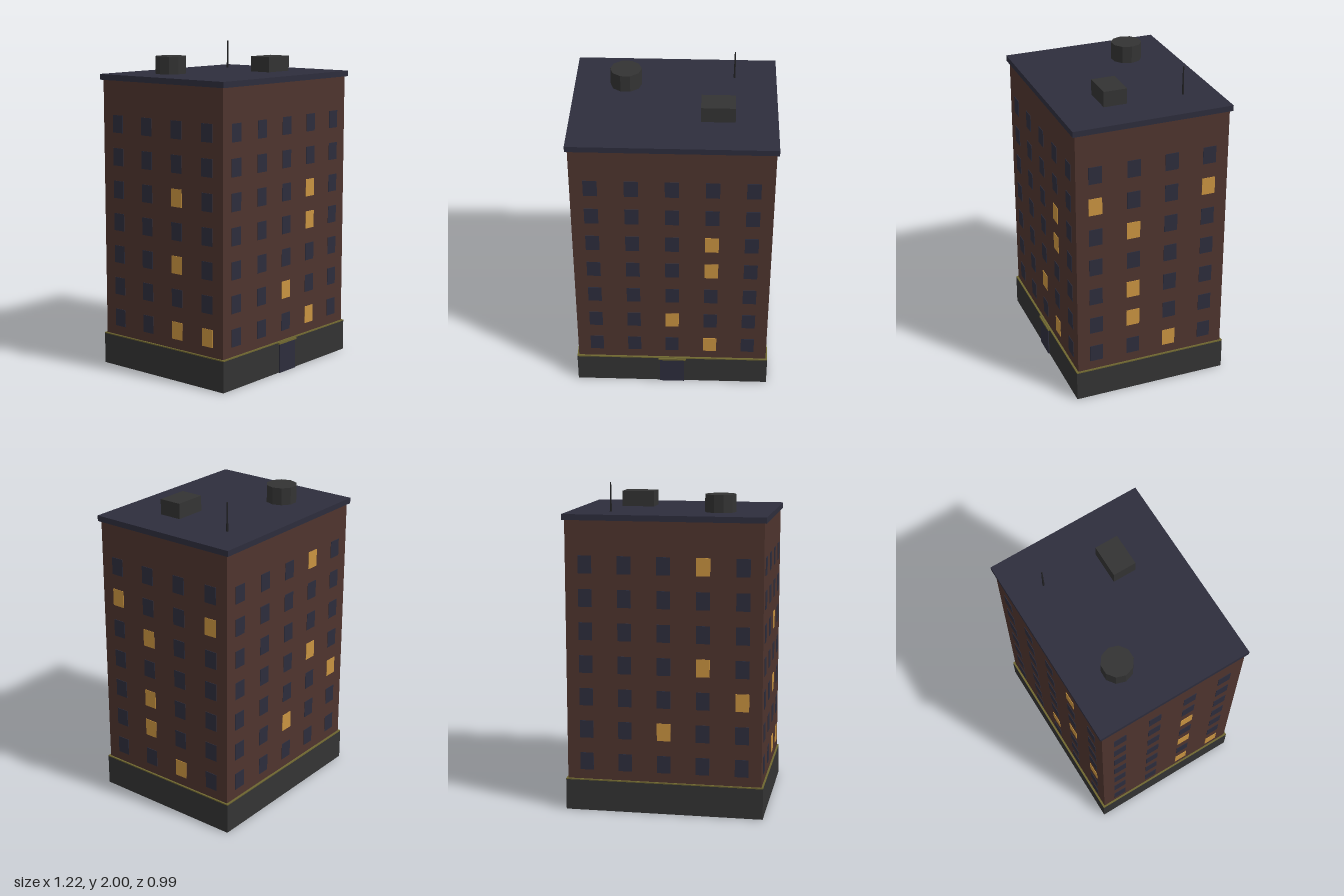
import * as THREE from 'three';

const mat = (name, color) => {
  const m = new THREE.MeshStandardMaterial({ color });
  m.name = name;
  return m;
};

export function createModel() {
  const brick = mat('brick', 0x4e342e);
  const stone = mat('dark stone', 0x333333);
  const slate = mat('slate', 0x2d2d3c);
  const lamp = mat('lit window', 0xc89340);
  const trimGold = mat('old gold', 0x6e6630);
  const iron = mat('iron', 0x222224);

  const model = new THREE.Group();
  model.name = 'apartmentBlock';
  const building = new THREE.Group();
  building.name = 'building';
  building.position.z = -0.003;
  model.add(building);

  const add = (name, geo, material, x, y, z, parent = building) => {
    const mesh = new THREE.Mesh(geo, material);
    mesh.name = name;
    mesh.position.set(x, y, z);
    parent.add(mesh);
    return mesh;
  };
  // Box standing on height y
  const box = (name, material, w, h, d, x, y, z, parent) =>
    add(name, new THREE.BoxGeometry(w, h, d), material, x, y + h / 2, z, parent);

  const W = 1.195, D = 0.955;

  // Main masses
  box('brickBody', brick, W, 1.79, D, 0, 0, 0);
  box('stoneBase', stone, 1.217, 0.19, 0.98, 0, 0.001, 0);
  box('baseTrim', trimGold, 1.217, 0.007, 0.98, 0, 0.191, 0);
  box('roofSlab', slate, 1.222, 0.035, 0.988, 0, 1.79, 0);

  // Entrance
  box('door', slate, 0.155, 0.18, 0.02, 0, 0, 0.487);
  box('doorCanopy', trimGold, 0.175, 0.012, 0.022, 0, 0.182, 0.488);

  // Windows: lit ones are [column, floor], columns counted left to right from outside
  const pane = new THREE.BoxGeometry(0.083, 0.108, 0.006);
  const facades = [
    { name: 'front', turn: 0, columns: 5, out: D / 2, lit: ['3,0', '2,1', '3,3', '3,4'] },
    { name: 'plusX', turn: Math.PI / 2, columns: 4, out: W / 2, lit: ['2,0', '1,1', '1,2', '1,4', '0,5', '3,5'] },
    { name: 'back', turn: Math.PI, columns: 5, out: D / 2, lit: ['2,1', '4,2', '3,3', '3,6'] },
    { name: 'minusX', turn: -Math.PI / 2, columns: 4, out: W / 2, lit: ['2,0', '3,0', '2,2', '2,4'] },
  ];
  for (const f of facades) {
    const side = new THREE.Group();
    side.name = f.name + 'Windows';
    side.rotation.y = f.turn;
    building.add(side);
    for (let c = 0; c < f.columns; c++) {
      for (let floor = 0; floor < 7; floor++) {
        const isLit = f.lit.includes(c + ',' + floor);
        add(isLit ? 'litWindow' : 'darkWindow', pane, isLit ? lamp : slate,
          (c - (f.columns - 1) / 2) * 0.2385, 0.311 + floor * 0.2025, f.out, side);
      }
    }
  }

  // Rooftop equipment
  const tankGeo = new THREE.CylinderGeometry(0.095, 0.095, 0.108, 10).toNonIndexed();
  tankGeo.rotateY(Math.PI / 2);
  tankGeo.computeVertexNormals();
  add('waterTank', tankGeo, stone, -0.3, 1.878, -0.193);
  box('ventilationUnit', stone, 0.202, 0.095, 0.145, 0.26, 1.825, 0.14);
  add('antennaMast', new THREE.CylinderGeometry(0.004, 0.007, 0.176, 6), iron, 0.356, 1.912, -0.288);

  return model;
}
